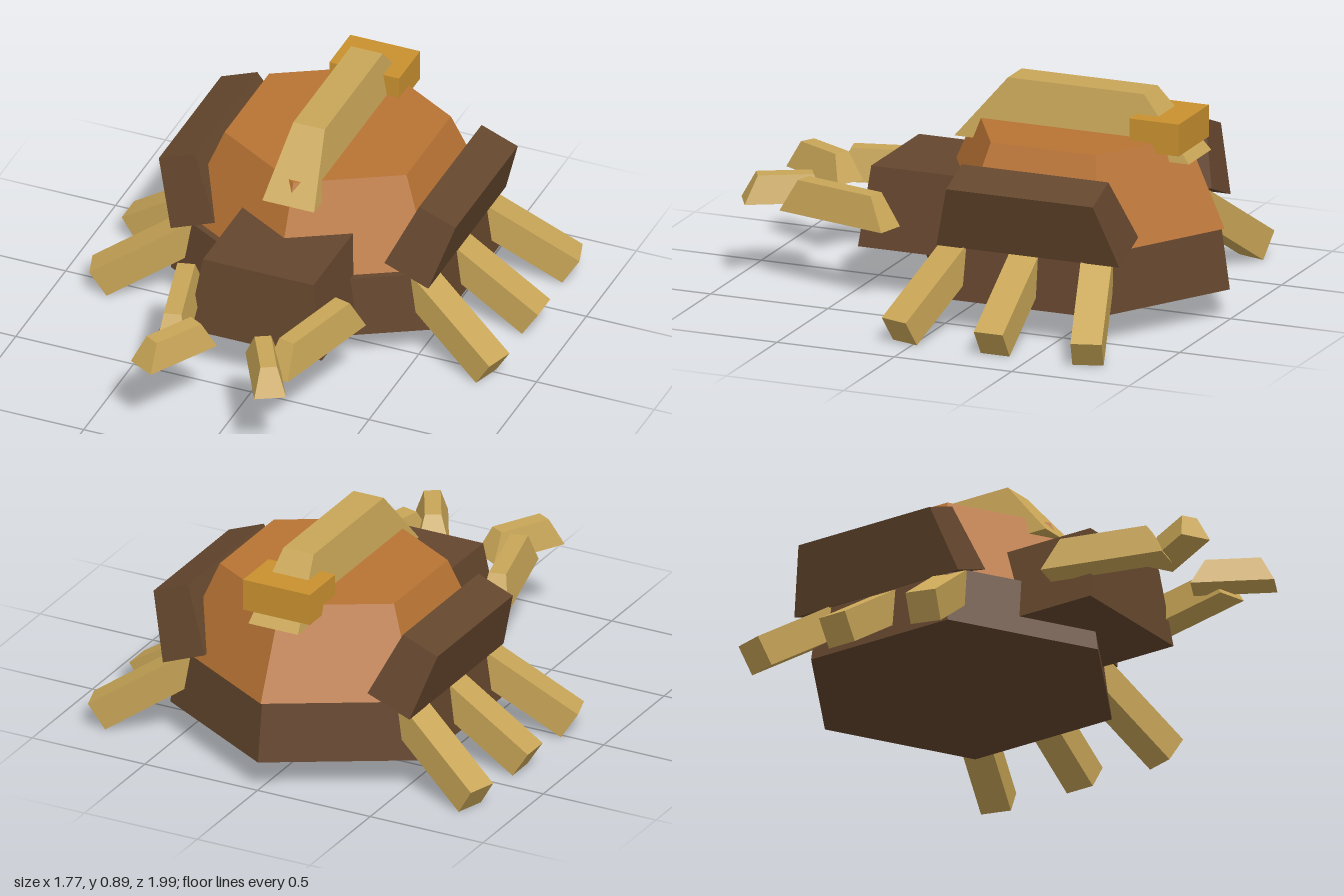
import * as THREE from 'three';

const mat = (name, color) => {
  const m = new THREE.MeshStandardMaterial({ color, flatShading: true });
  m.name = name;
  return m;
};

// Box whose top face is a different size from its bottom face, centred on the origin
function taperedBox(bottomX, bottomZ, topX, topZ, height) {
  const geo = new THREE.BoxGeometry(bottomX, height, bottomZ);
  const p = geo.attributes.position;
  for (let i = 0; i < p.count; i++) {
    if (p.getY(i) > 0) {
      p.setX(i, p.getX(i) * topX / bottomX);
      p.setZ(i, p.getZ(i) * topZ / bottomZ);
    }
  }
  geo.computeVertexNormals();
  return geo;
}

export function createModel() {
  const model = new THREE.Group();
  model.name = 'crab';
  const brown = mat('dark brown', 0x64462d);
  const copper = mat('copper', 0xb87333);
  const tan = mat('tan', 0xc8a557);
  const gold = mat('gold', 0xc9912f);

  const add = (name, geo, material, x, y, z) => {
    const mesh = new THREE.Mesh(geo, material);
    mesh.name = name;
    mesh.position.set(x, y, z);
    model.add(mesh);
    return mesh;
  };

  // Hexagonal body with the domed shell on top
  add('base', new THREE.CylinderGeometry(0.615, 0.65, 0.245, 6), brown, 0, 0.2425, -0.347);
  add('shell', new THREE.CylinderGeometry(0.446, 0.606, 0.36, 6), copper, 0, 0.545, -0.368);

  // Ridge along the shell and the block at its back end
  add('ridge', taperedBox(0.22, 1.0, 0.134, 0.58, 0.25), tan, 0, 0.77, -0.37);
  add('ridgeBlock', new THREE.BoxGeometry(0.296, 0.13, 0.21), gold, 0, 0.75, -0.738);

  // Head, sunk into the front of the shell
  add('head', taperedBox(0.57, 0.5, 0.47, 0.43, 0.32), brown, 0, 0.36, 0.215);

  const plateGeo = taperedBox(0.2, 0.78, 0.165, 0.625, 0.272);
  const upperArmGeo = taperedBox(0.12, 0.505, 0.07, 0.36, 0.132);
  const forearmGeo = taperedBox(0.125, 0.33, 0.065, 0.22, 0.11);
  const legLength = 0.6;
  const legGeo = new THREE.BoxGeometry(legLength, 0.125, 0.123).translate(-legLength / 2, 0, 0);

  for (const s of [1, -1]) {
    const side = s > 0 ? 'left' : 'right';

    // Tilted side armour
    add(side + 'Plate', plateGeo, brown, s * 0.5035, 0.494, -0.373).rotation.z = -s * 0.374;

    // Claw arm in two segments
    add(side + 'UpperArm', upperArmGeo, tan, s * 0.287, 0.371, 0.542).rotation.y = -s * 0.252;
    add(side + 'Forearm', forearmGeo, tan, s * 0.195, 0.38, 0.815).rotation.y = s * 0.505;

    // Three splayed legs, placed by their feet
    for (const [label, k] of [['Front', 1], ['Middle', 0], ['Back', -1]]) {
      const leg = add(side + label + 'Leg', legGeo, tan, s * (k ? 0.835 : 0.85), 0.053, -0.35 + k * 0.4);
      const yaw = k * 0.297;
      leg.rotation.set(0, s > 0 ? -yaw : Math.PI + yaw, -0.575, 'YXZ');
    }
  }
  return model;
}
